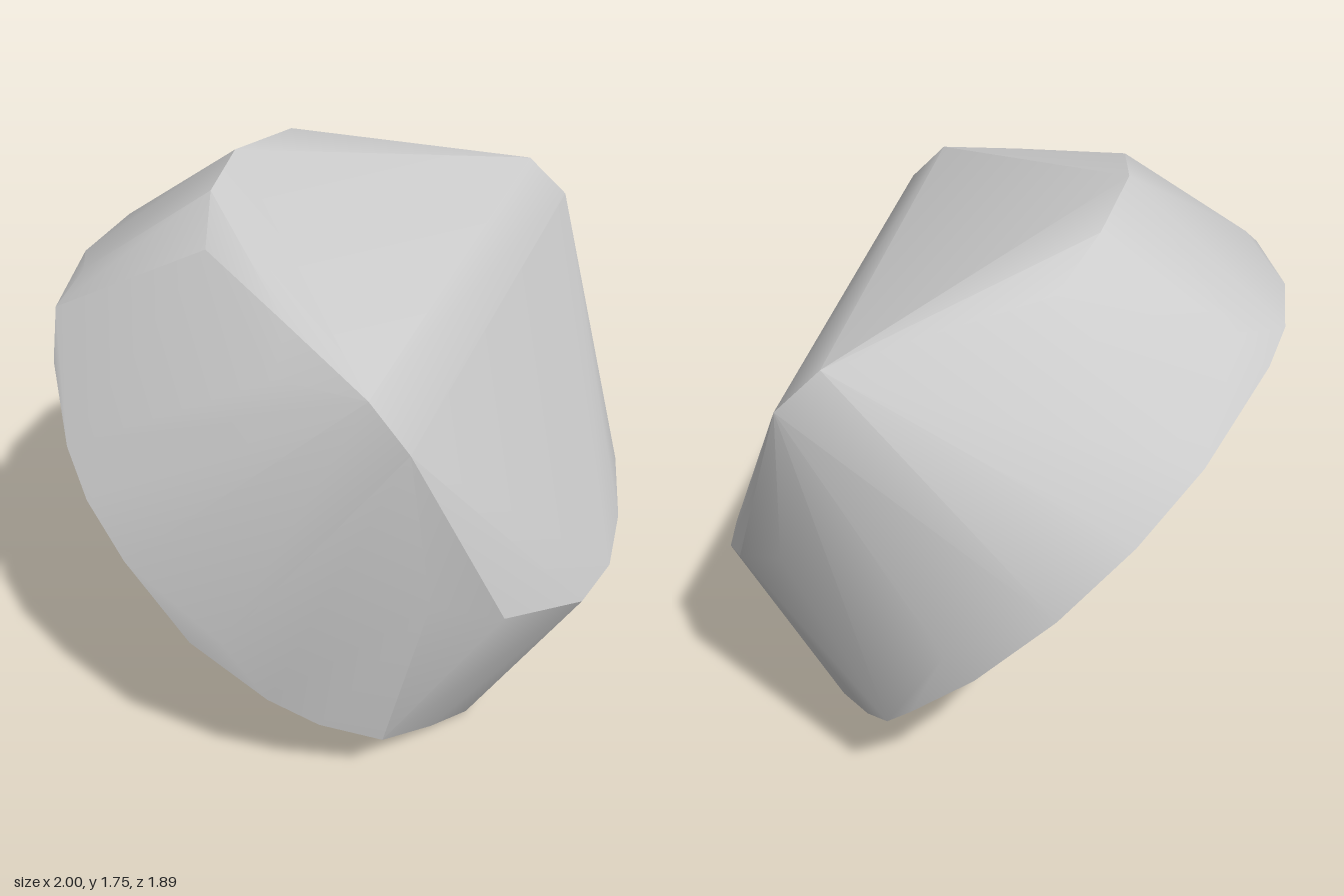
import * as THREE from 'three';
import { ConvexGeometry } from 'three/addons/geometries/ConvexGeometry.js';
import { toCreasedNormals } from 'three/addons/utils/BufferGeometryUtils.js';

export function createModel() {
  const group = new THREE.Group();
  const stone = new THREE.MeshStandardMaterial({ color: 0xcccccc });
  stone.name = 'light grey';

  // round base rim as x, z pairs; its height follows one tilted plane
  const rim = [
    [0.3, 0.47], [0.52, 0.28], [0.69, 0.06], [0.8, -0.198], [0.848, -0.35], [0.83, -0.44],
    [0.765, -0.64], [0.62, -0.815], [0.42, -0.915], [0.18, -0.945], [-0.18, -0.88], [-0.353, -0.807],
    [-0.6, -0.63], [-0.797, -0.417], [-0.9, -0.25], [-0.985, -0.01], [-1, 0.13], [-0.97, 0.28],
    [-0.88, 0.475], [-0.71, 0.61], [-0.57, 0.67], [-0.4, 0.69], [-0.14, 0.665], [0.04, 0.62],
  ];
  const baseHeight = (x, z) => Math.max(0, 0.54 - 0.978 * (0.58 * x + 0.814 * z));

  // bevelled ridge across the middle
  const ridge = [
    [0.905, 1.495, -0.22], [1, 1.37, -0.13],
    [-0.49, 1.495, 0.8], [-0.435, 1.37, 0.91],
  ];

  // curved lower edge of the front slope
  const frontEdge = [
    [-0.11, 0.71, 0.945], [0.27, 0.55, 0.87], [0.5, 0.515, 0.75],
    [0.69, 0.535, 0.585], [0.845, 0.605, 0.395], [0.94, 0.71, 0.2],
  ];

  // curved rear edge of the upper slope
  const upperEdge = [
    [-0.515, 1.57, 0.45], [-0.54, 1.645, 0.07], [-0.41, 1.725, -0.12], [-0.22, 1.75, -0.3],
    [0.08, 1.705, -0.455], [0.316, 1.608, -0.508],
  ];

  // bulges of the wall: back, sides, low front and below the ridge ends
  const wall = [
    [-0.12, 1.447, -0.807], [-0.72, 1.45, -0.38], [-0.834, 1.37, -0.35],
    [0.818, 0.69, -0.572], [-0.823, 0.69, 0.56], [-0.39, 0.23, 0.745],
    [0.96, 0.83, -0.04], [-0.344, 0.83, 0.898], [-0.6, 1.46, 0.52],
  ];

  const points = rim.map(([x, z]) => new THREE.Vector3(x, baseHeight(x, z), z));
  for (const list of [ridge, frontEdge, upperEdge, wall]) {
    for (const p of list) points.push(new THREE.Vector3(...p));
  }

  // smooth wall with sharp edges around the slopes and base
  const geometry = toCreasedNormals(new ConvexGeometry(points), 0.5);
  const body = new THREE.Mesh(geometry, stone);
  body.name = 'cutStoneBody';
  group.add(body);
  group.name = 'cutStone';
  return group;
}
